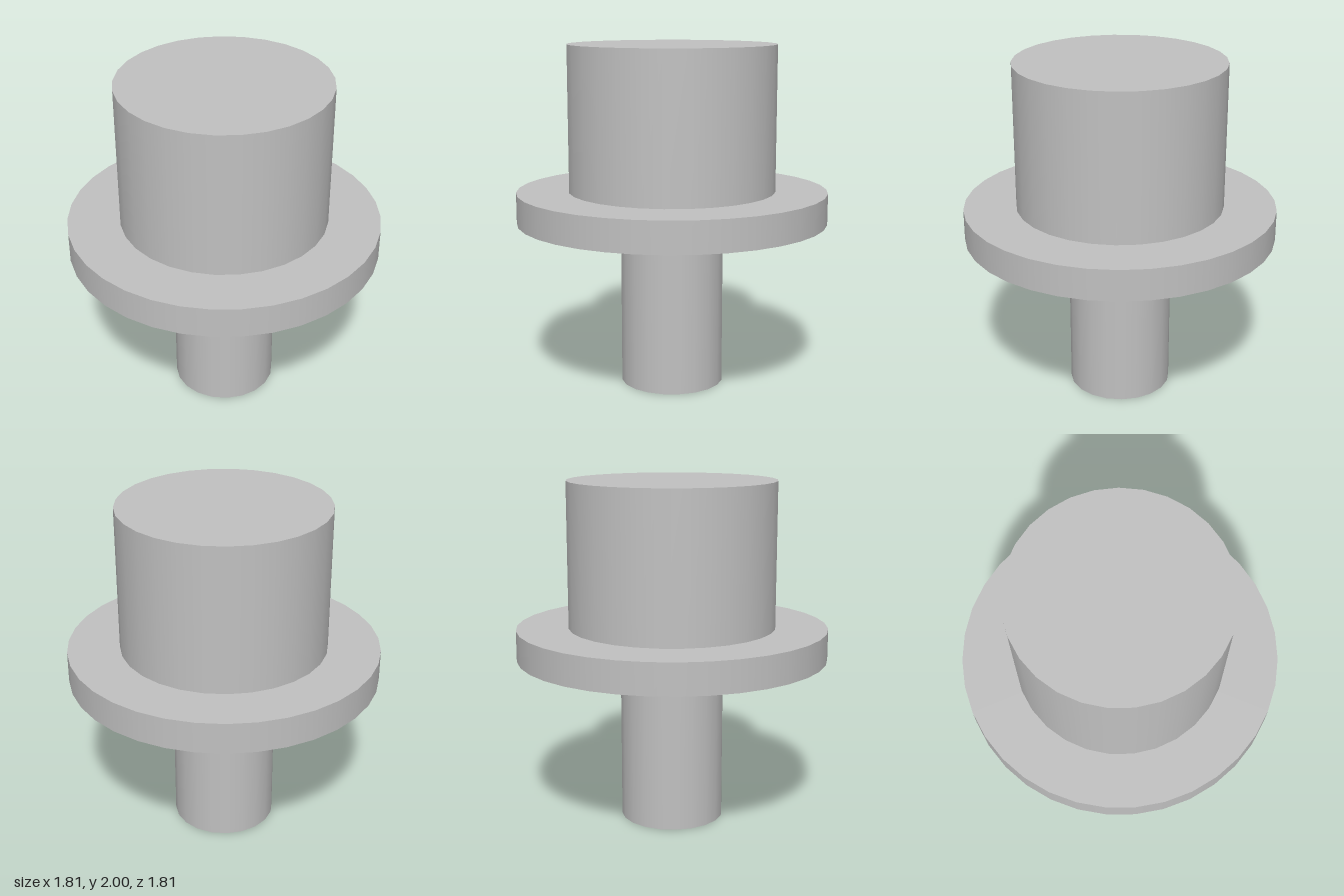
import * as THREE from 'three';

export function createModel() {
  const group = new THREE.Group();
  const grey = new THREE.MeshStandardMaterial({ color: 0xc0c0c0 });
  grey.name = 'grey';

  // Upright round section between two heights, with a corner on +x
  const addSection = (name, radius, bottom, top, sides) => {
    const geometry = new THREE.CylinderGeometry(
      radius, radius, top - bottom, sides, 1, false, Math.PI / 2);
    const mesh = new THREE.Mesh(geometry, grey);
    mesh.name = name;
    mesh.position.set(-0.002, (bottom + top) / 2, 0);
    group.add(mesh);
  };

  addSection('stem', 0.302, 0, 0.973, 20);
  addSection('flange', 0.907, 0.973, 1.153, 35);
  addSection('head', 0.604, 1.153, 2, 29);

  return group;
}
